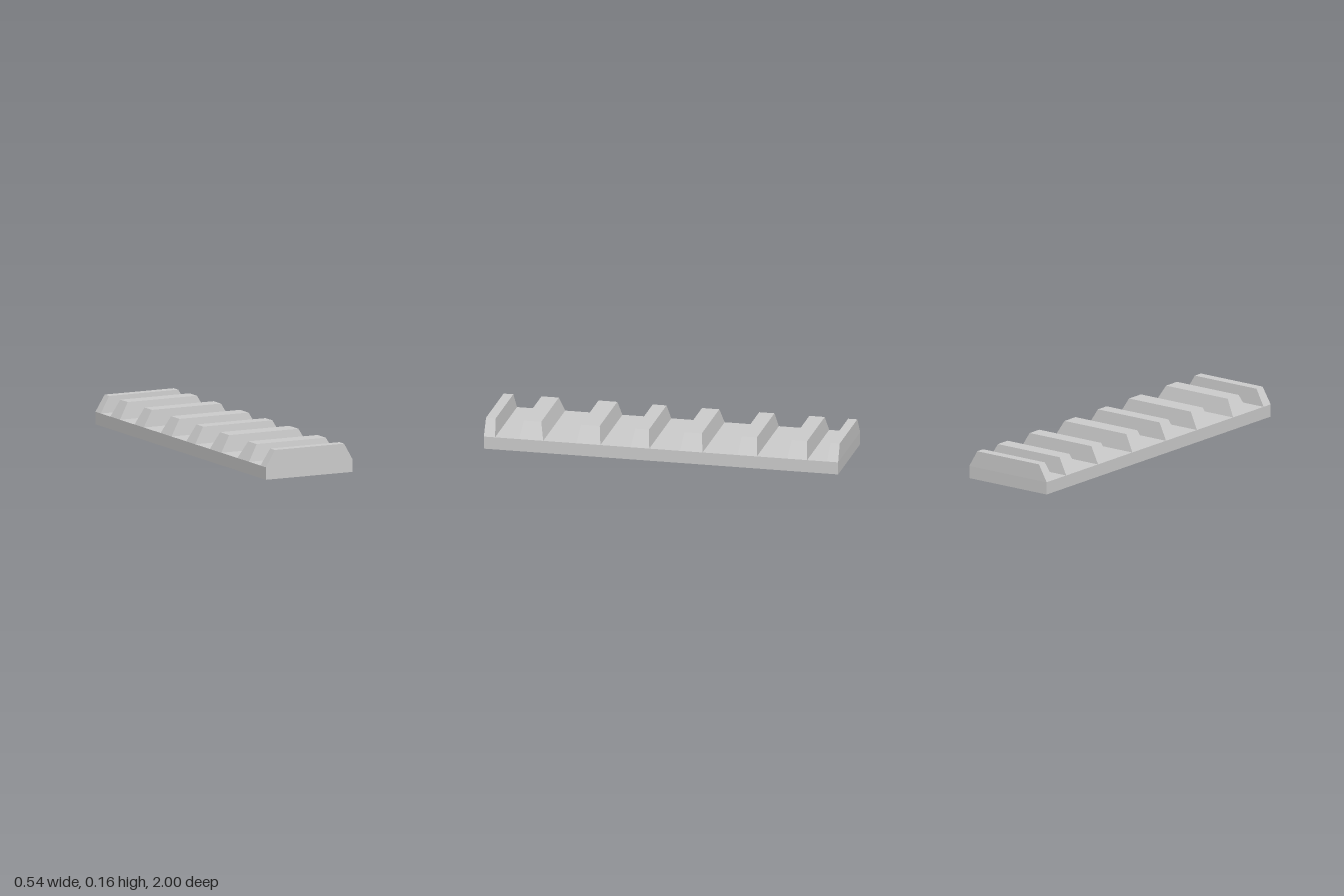
import * as THREE from 'three';

const HALF_WIDTH = 0.27;
const FLOOR = 0.07;   // height of the slots between the ridges
const TOP = 0.162;    // height of the ridge tops

// Each ridge: [back foot z, front foot z, back top z, front top z]
const RIDGES = [
  [-1, -0.937, -0.997, -0.945],
  [-0.825, -0.712, -0.813, -0.726],
  [-0.541, -0.433, -0.529, -0.443],
  [-0.235, -0.107, -0.218, -0.12],
  [0.066, 0.171, 0.08, 0.158],
  [0.342, 0.477, 0.358, 0.464],
  [0.665, 0.802, 0.688, 0.786],
  [0.937, 1, 0.945, 1],
];

// Box whose corners are pulled into a tapered ridge
function ridgeGeometry([footBack, footFront, topBack, topFront]) {
  const geometry = new THREE.BoxGeometry(1, 1, 1);
  const p = geometry.attributes.position;
  for (let i = 0; i < p.count; i++) {
    const top = p.getY(i) > 0, front = p.getZ(i) > 0, left = p.getX(i) > 0;
    const x = top ? (left ? 0.217 : -0.214) : (left ? HALF_WIDTH : -HALF_WIDTH);
    const z = top ? (front ? topFront : topBack) : (front ? footFront : footBack);
    p.setXYZ(i, x, top ? TOP : FLOOR, z);
  }
  geometry.computeVertexNormals();
  return geometry;
}

export function createModel() {
  const model = new THREE.Group();
  model.name = 'ridgedRail';
  const material = new THREE.MeshStandardMaterial({ color: 0xcccccc, flatShading: true });

  // Flat base strip
  const base = new THREE.Mesh(new THREE.BoxGeometry(HALF_WIDTH * 2, FLOOR, 2), material);
  base.position.y = FLOOR / 2;
  base.name = 'base';
  model.add(base);

  // Cross ridges with bevelled ends
  RIDGES.forEach((ridge, i) => {
    const mesh = new THREE.Mesh(ridgeGeometry(ridge), material);
    mesh.name = `ridge${i + 1}`;
    model.add(mesh);
  });
  return model;
}
